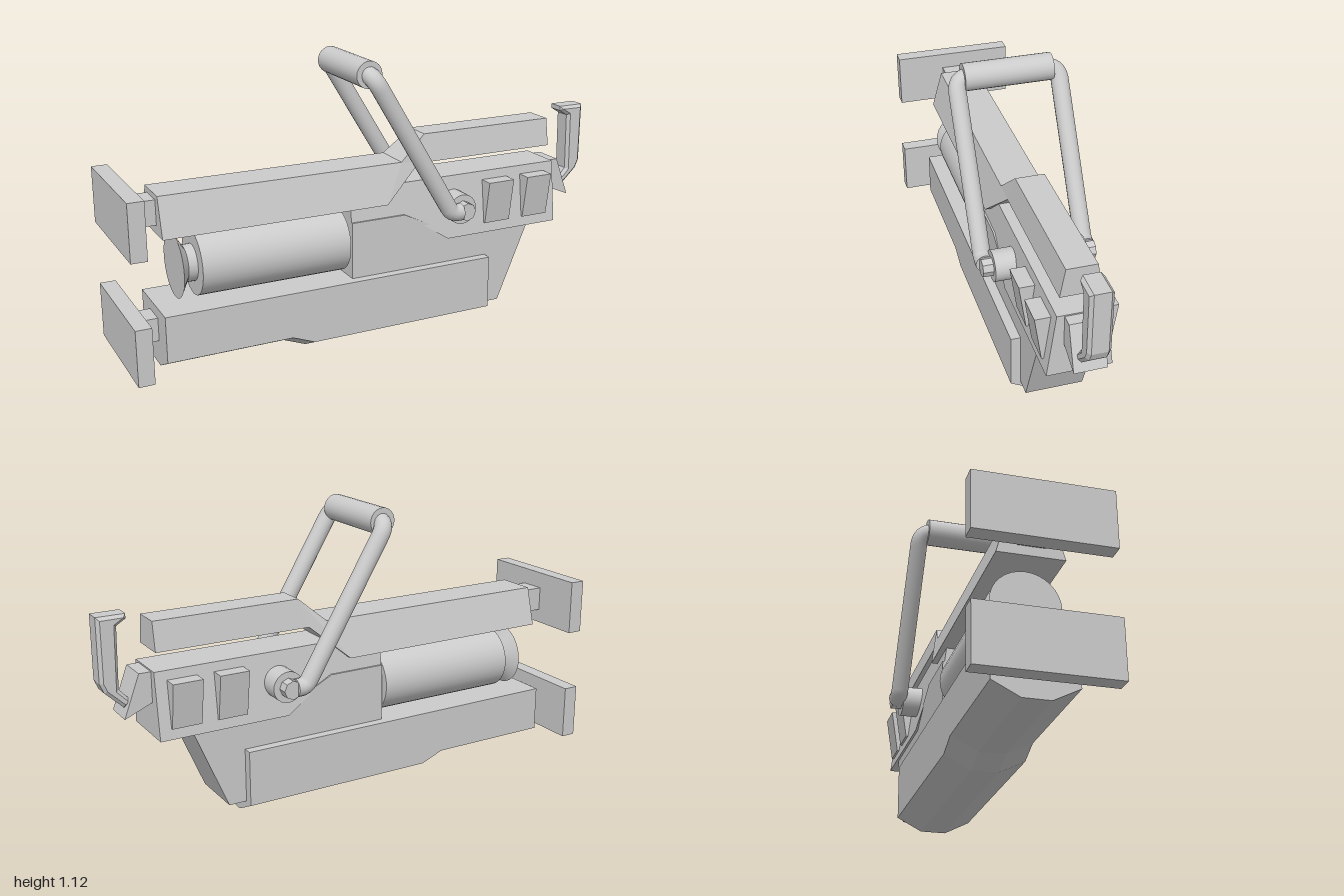
import * as THREE from 'three';

const material = new THREE.MeshStandardMaterial({ color: 0xcccccc });

export function createModel() {
  const model = new THREE.Group();

  const add = (name, geometry, x = 0, y = 0, z = 0) => {
    const mesh = new THREE.Mesh(geometry, material);
    mesh.name = name;
    mesh.position.set(x, y, z);
    model.add(mesh);
    return mesh;
  };

  // Box given by its x and y limits, centred on z = 0
  const block = (name, x0, x1, y0, y1, halfZ) =>
    add(name, new THREE.BoxGeometry(x1 - x0, y1 - y0, halfZ * 2), (x0 + x1) / 2, (y0 + y1) / 2);

  // Side profile in x/y, spread in z to a half width that depends on height
  const prism = (name, points, width) => {
    const shape = new THREE.Shape(points.map(([x, y]) => new THREE.Vector2(x, y)));
    const geometry = new THREE.ExtrudeGeometry(shape, { depth: 1, bevelEnabled: false });
    const p = geometry.attributes.position;
    for (let i = 0; i < p.count; i++) {
      const w = width(p.getY(i));
      p.setZ(i, p.getZ(i) > 0.5 ? w : -w);
    }
    geometry.computeVertexNormals();
    return add(name, geometry);
  };

  // Mirrored rings of [x, y, halfZ] listed from top to bottom, joined along +x
  const loft = (name, sections) => {
    const rings = sections.map(s => [
      ...s,
      ...s.map(([x, y, z]) => [x, y, -z]).reverse(),
    ]);
    const out = [];
    const n = rings[0].length;
    for (let i = 0; i < rings.length - 1; i++) {
      for (let j = 0; j < n; j++) {
        const k = (j + 1) % n;
        const a = rings[i][j], b = rings[i][k], c = rings[i + 1][k], d = rings[i + 1][j];
        out.push(...a, ...b, ...c, ...a, ...c, ...d);
      }
    }
    const first = rings[0], last = rings[rings.length - 1];
    for (let j = 1; j < n - 1; j++) {
      out.push(...first[0], ...first[j + 1], ...first[j]);
      out.push(...last[0], ...last[j], ...last[j + 1]);
    }
    const geometry = new THREE.BufferGeometry();
    geometry.setAttribute('position', new THREE.Float32BufferAttribute(out, 3));
    geometry.computeVertexNormals();
    return add(name, geometry);
  };

  // End plates with their stubs
  block('upperEndPlate', -1, -0.94, 0.53, 0.745, 0.245);
  block('lowerEndPlate', -1, -0.94, 0.07, 0.285, 0.245);
  block('upperStub', -0.94, -0.84, 0.585, 0.68, 0.05);
  block('lowerStub', -0.94, -0.85, 0.14, 0.23, 0.05);

  // Tapered upper rail, ramping up to the raised rear part
  loft('upperRail', [
    [[-0.85, 0.7, 0.078], [-0.85, 0.55, 0.12]],
    [[0.12, 0.7, 0.078], [0.04, 0.55, 0.12]],
    [[0.23, 0.795, 0.056], [0.195, 0.685, 0.075]],
    [[0.805, 0.795, 0.056], [0.805, 0.685, 0.075]],
  ]);

  // Lower rail with a chamfered keel that steps down
  const keel = (x, drop) => [[x, 0.27, 0.148], [x, 0.055 + drop, 0.148], [x, 0.005 + drop, 0.05]];
  loft('lowerRail', [keel(-0.865, 0.036), keel(-0.375, 0.036), keel(-0.285, 0), keel(0.49, 0)]);

  // Central body
  prism('lowerBody', [
    [-0.108, 0.2], [0.3, 0.06], [0.56, 0.06], [0.69, 0.37], [0.69, 0.4],
    [0.31, 0.4], [0.12, 0.495], [-0.108, 0.495],
  ], () => 0.111);
  const bodyWidth = y => 0.12 - 0.13 * (y - 0.37);
  prism('upperBody', [
    [-0.108, 0.495], [0.12, 0.495], [0.31, 0.37], [0.82, 0.37],
    [0.82, 0.62], [0.12, 0.62], [0.04, 0.55], [-0.108, 0.55],
  ], bodyWidth);

  // Wedge pads on both sides of the body
  for (const x of [0.48, 0.66]) {
    prism('sidePads', [[x, 0.41], [x + 0.115, 0.41], [x + 0.115, 0.585], [x, 0.585]],
      y => 0.123 + 0.154 * (y - 0.41));
  }

  // Round barrel with neck and flared end
  const drum = (name, x0, x1, r0, r1) =>
    add(name, new THREE.CylinderGeometry(r0, r1, x1 - x0, 32), (x0 + x1) / 2, 0.405)
      .rotateZ(Math.PI / 2);
  drum('barrel', -0.71, -0.12, 0.125, 0.125);
  drum('barrelNeck', -0.75, -0.705, 0.07, 0.07);
  // the cylinder's bottom radius lies toward -x after mirroring the axis
  drum('barrelFlare', -0.78, -0.745, 0.07, 0.125).rotateZ(Math.PI);

  // Pivot bosses and nuts
  for (const side of [-1, 1]) {
    const boss = add('handleBoss', new THREE.CylinderGeometry(0.06, 0.06, 0.1, 24), 0.34, 0.505, side * 0.127);
    boss.rotation.x = Math.PI / 2;
    const nut = new THREE.CylinderGeometry(0.036, 0.036, 0.06, 8).toNonIndexed();
    nut.computeVertexNormals();
    add('handleNut', nut, 0.34, 0.505, side * 0.187).rotation.x = Math.PI / 2;
  }

  // Bent handle frame with rounded corners
  const corners = [
    [0.32, 0.505, 0.197], [0.278, 0.505, 0.197], [-0.065, 1.075, 0.197],
    [-0.065, 1.075, -0.197], [0.278, 0.505, -0.197], [0.32, 0.505, -0.197],
  ].map(c => new THREE.Vector3(...c));
  const path = new THREE.CurvePath();
  let from = corners[0];
  for (let i = 1; i < corners.length - 1; i++) {
    const c = corners[i];
    const r = i === 2 || i === 3 ? 0.055 : 0.025;
    const toward = p => c.clone().add(p.clone().sub(c).setLength(r));
    const start = toward(corners[i - 1]), end = toward(corners[i + 1]);
    path.add(new THREE.LineCurve3(from, start));
    path.add(new THREE.QuadraticBezierCurve3(start, c, end));
    from = end;
  }
  path.add(new THREE.LineCurve3(from, corners[corners.length - 1]));
  add('handleFrame', new THREE.TubeGeometry(path, 140, 0.034, 16, false));
  for (const side of [-1, 1]) {
    const cap = new THREE.CircleGeometry(0.034, 16).rotateY(Math.PI / 2);
    add('handleFrameEnd', cap, 0.32, 0.505, side * 0.197);
  }
  add('handleGrip', new THREE.CylinderGeometry(0.052, 0.052, 0.34, 24), -0.065, 1.075, 0)
    .rotation.x = Math.PI / 2;

  // Rear bracket
  prism('rearBracket', [[0.8, 0.5], [0.82, 0.5], [0.925, 0.455], [0.865, 0.615], [0.8, 0.615]], () => 0.06);

  // Upright rear hook with bevelled edges
  const hook = new THREE.Shape([
    [0.88, 0.505], [0.915, 0.49], [0.983, 0.555], [0.998, 0.59], [0.998, 0.83],
    [0.89, 0.83], [0.89, 0.812], [0.925, 0.79], [0.93, 0.56],
  ].map(([x, y]) => new THREE.Vector2(x, y)));
  const bevel = 0.012;
  add('rearHook', new THREE.ExtrudeGeometry(hook, {
    depth: 0.06, bevelSize: bevel, bevelThickness: bevel, bevelOffset: -bevel, bevelSegments: 1,
  }), 0, 0, -0.03);

  return model;
}
